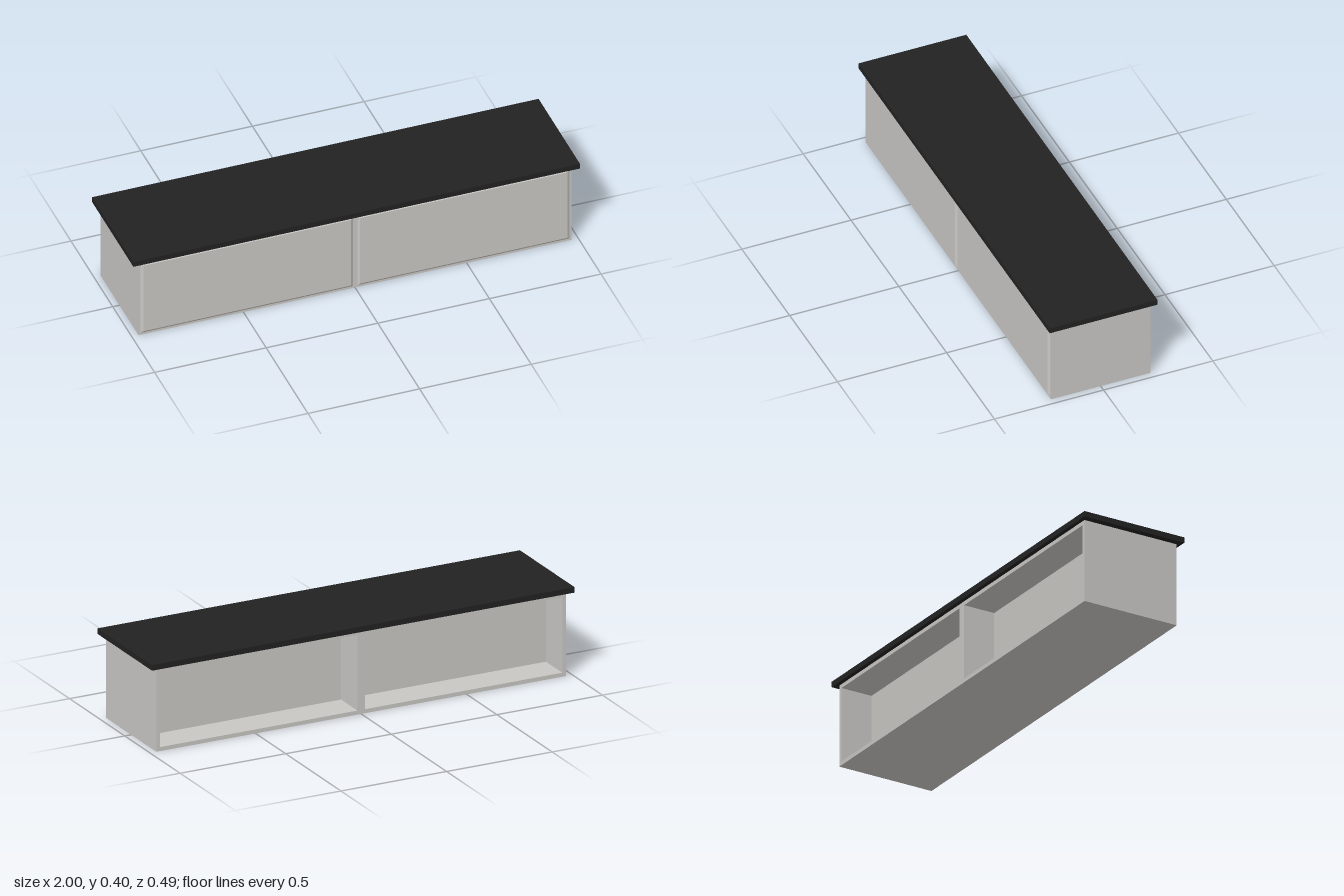
import * as THREE from 'three';

export function createModel() {
  const model = new THREE.Group();
  model.name = 'lowCabinet';
  const bodyPaint = new THREE.MeshStandardMaterial({ name: 'light grey', color: 0xc9c7c4 });
  const topPaint = new THREE.MeshStandardMaterial({ name: 'near black', color: 0x222222 });

  // Box given by its lower and upper limits on each axis
  function slab(name, material, [x0, x1], [y0, y1], [z0, z1]) {
    const geometry = new THREE.BoxGeometry(x1 - x0, y1 - y0, z1 - z0);
    const mesh = new THREE.Mesh(geometry, material);
    mesh.position.set((x0 + x1) / 2, (y0 + y1) / 2, (z0 + z1) / 2);
    mesh.name = name;
    model.add(mesh);
    return mesh;
  }

  const W = 0.97, H = 0.375, D = 0.228, T = 0.018;
  const recess = -0.08; // depth of the open rear compartments

  // Worktop overhanging the carcass
  slab('worktop', topPaint, [-1, 1], [H, 0.4], [-0.247, 0.247]);

  // Carcass: closed front half, open compartments at the rear
  slab('core', bodyPaint, [-W, W], [0, H], [recess, D]);
  slab('floorPanel', bodyPaint, [-W, W], [0, T], [-D, recess]);
  slab('ceilingPanel', bodyPaint, [-W, W], [H - T, H], [-D, recess]);
  slab('divider', bodyPaint, [-T, T], [T, H - T], [-D, recess]);
  for (const [side, s] of [['left', 1], ['right', -1]]) {
    const x = s * (W - T / 2);
    slab(side + 'SidePanel', bodyPaint, [x - T / 2, x + T / 2], [T, H - T], [-D, recess]);

    // Door front with chamfered edges
    const cx = s * 0.485;
    const door = slab(side + 'Door', bodyPaint, [cx - 0.475, cx + 0.475], [0.01, 0.37], [D, 0.235]);
    const p = door.geometry.attributes.position;
    for (let i = 0; i < p.count; i++) {
      if (p.getZ(i) > 0) {
        p.setX(i, p.getX(i) - Math.sign(p.getX(i)) * 0.01);
        p.setY(i, p.getY(i) - Math.sign(p.getY(i)) * 0.01);
      }
    }
    door.geometry = door.geometry.toNonIndexed();
    door.geometry.computeVertexNormals();
  }
  return model;
}
